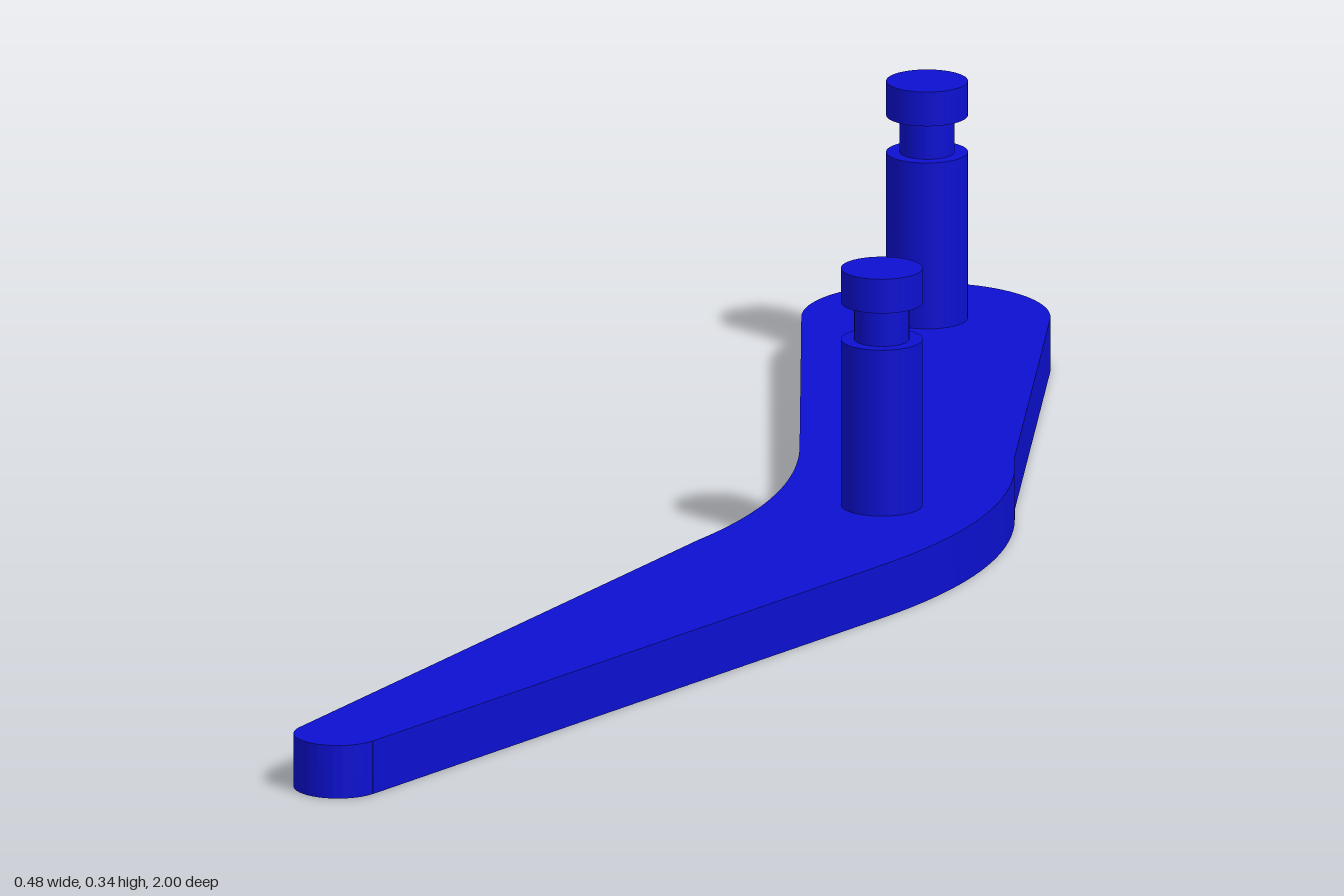
import * as THREE from 'three';
import { toCreasedNormals } from 'three/addons/utils/BufferGeometryUtils.js';

const PLATE = 0.062;

// Bent, tapering plate outline, drawn in (x, -z)
function plateGeometry() {
  const s = new THREE.Shape();
  s.moveTo(-0.143, -0.968);
  s.lineTo(0.19, -0.11);
  s.quadraticCurveTo(0.279, 0.125, 0.2, 0.34); // outer elbow
  s.absarc(-0.068, 0.86, 0.14, 0.228, Math.PI + 0.307, false); // wide end
  s.lineTo(-0.045, 0.315);
  s.quadraticCurveTo(0.017, 0.117, -0.04, -0.08); // inner elbow
  s.absarc(-0.19, -0.95, 0.05, Math.PI - 0.228, 2 * Math.PI - 0.373, false); // narrow tip
  const g = new THREE.ExtrudeGeometry(s, { depth: PLATE, bevelEnabled: false, curveSegments: 32 });
  g.rotateX(-Math.PI / 2);
  return toCreasedNormals(g, 0.4);
}

// Pin with a groove below its head
function makePin(name, x, z, material) {
  const pin = new THREE.Group();
  pin.name = name;
  const sections = [
    ['shaft', 0.046, PLATE, 0.256],
    ['neck', 0.031, 0.256, 0.299],
    ['head', 0.046, 0.299, 0.339],
  ];
  for (const [part, r, y0, y1] of sections) {
    const mesh = new THREE.Mesh(new THREE.CylinderGeometry(r, r, y1 - y0, 48), material);
    mesh.name = part;
    mesh.position.y = (y0 + y1) / 2;
    pin.add(mesh);
  }
  pin.position.set(x, 0, z);
  return pin;
}

export function createModel() {
  const model = new THREE.Group();
  model.name = 'lever';
  const blue = new THREE.MeshStandardMaterial({ color: 0x0c10d0 });

  const plate = new THREE.Mesh(plateGeometry(), blue);
  plate.name = 'leverPlate';
  model.add(plate);

  model.add(makePin('endPin', -0.066, -0.858, blue));
  model.add(makePin('elbowPin', 0.114, -0.118, blue));
  return model;
}
